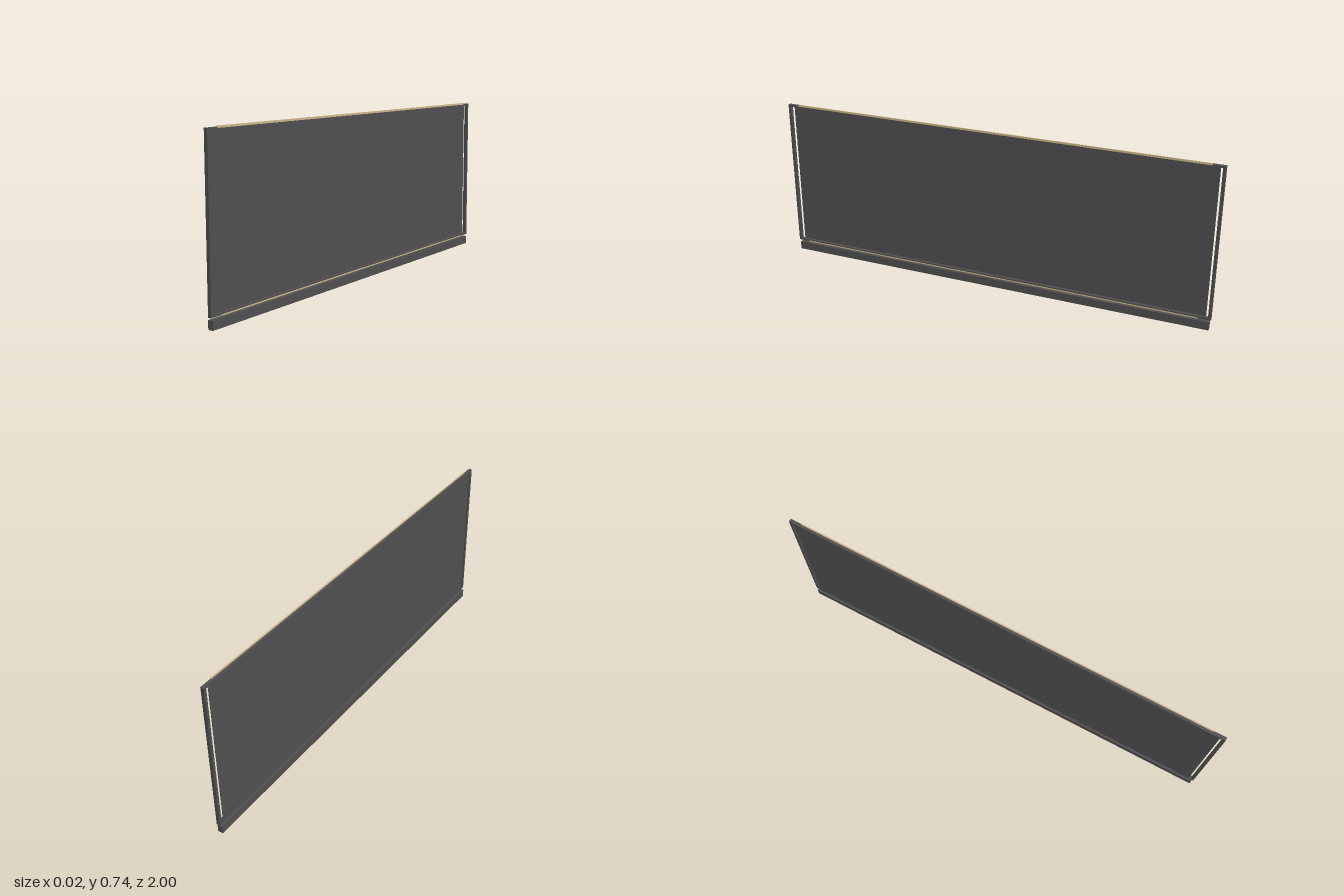
import * as THREE from 'three';

export function createModel() {
  const root = new THREE.Group();
  root.name = 'framedPanel';

  const material = (name, color) => {
    const m = new THREE.MeshStandardMaterial({ color });
    m.name = name;
    return m;
  };
  const charcoal = material('charcoal', 0x4e4e4e);
  const tan = material('tan', 0xcdb78a);

  // Box given by its lower and upper limits on each axis
  const bar = (name, mat, [x0, x1], [y0, y1], [z0, z1]) => {
    const mesh = new THREE.Mesh(new THREE.BoxGeometry(x1 - x0, y1 - y0, z1 - z0), mat);
    mesh.position.set((x0 + x1) / 2, (y0 + y1) / 2, (z0 + z1) / 2);
    mesh.name = name;
    root.add(mesh);
  };

  const depth = [-0.006, 0.009];

  // Thin sheet close to the back of the frame, with a slit at each end
  bar('panel', charcoal, [-0.0058, -0.0042], [0.054, 0.724], [-0.977, 0.977]);

  // Frame rails over the full length, with end posts between them
  bar('topRail', charcoal, depth, [0.722, 0.731], [-1, 1]);
  bar('bottomRail', charcoal, depth, [0.047, 0.056], [-1, 1]);
  bar('frontPost', charcoal, depth, [0.056, 0.722], [0.987, 1]);
  bar('backPost', charcoal, depth, [0.056, 0.722], [-1, -0.987]);

  // Narrow seals lapping the top and bottom edges
  bar('topSeal', tan, [0.005, 0.0098], [0.727, 0.7355], [-0.945, 0.945]);
  bar('bottomSeal', tan, [0.005, 0.0098], [0.0445, 0.050], [-0.945, 0.945]);

  // Separate sill below the frame
  bar('sill', charcoal, [-0.0115, 0.0112], [0, 0.037], [-0.994, 0.994]);

  return root;
}
